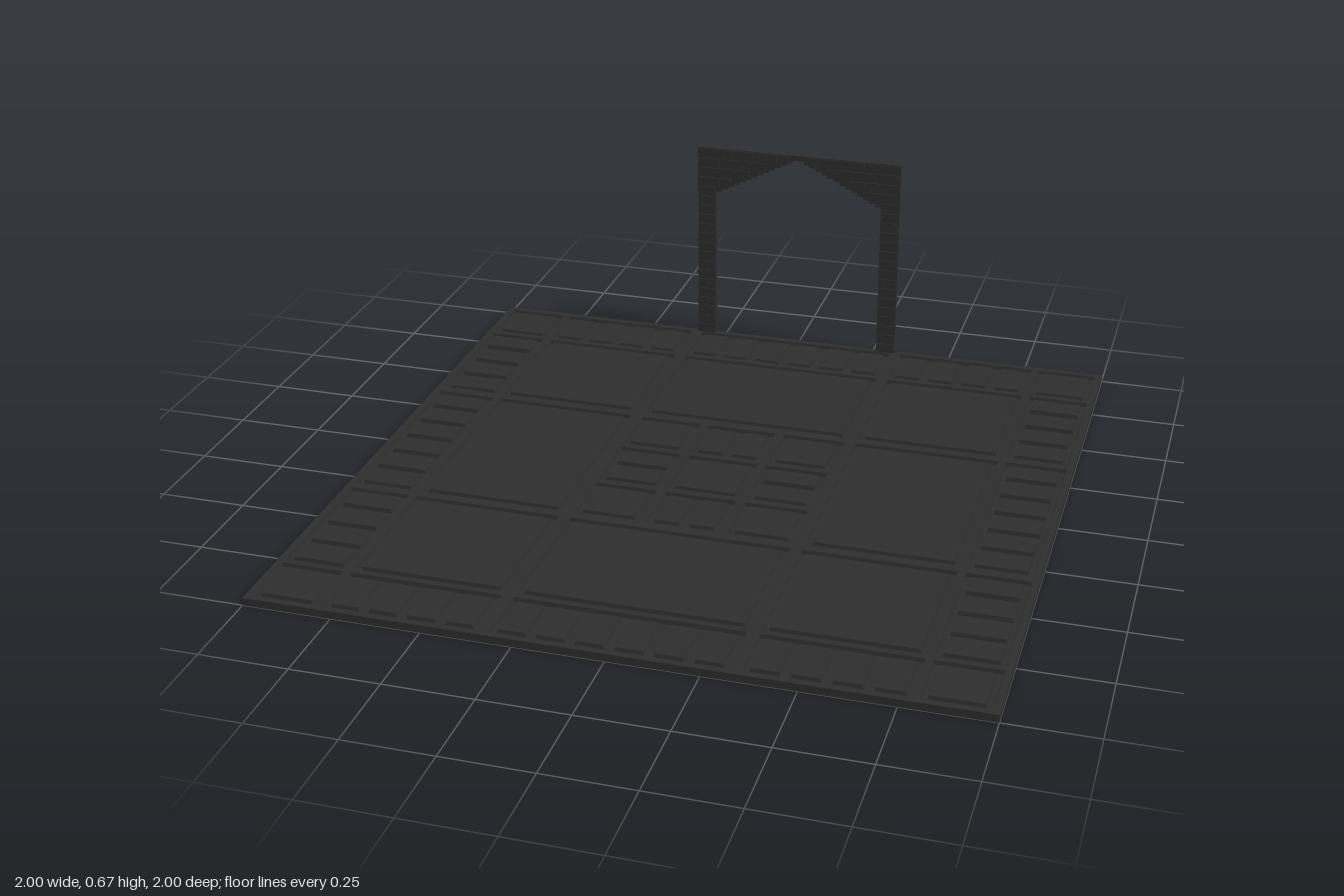
import * as THREE from 'three';
import { mergeGeometries } from 'three/addons/utils/BufferGeometryUtils.js';

const TOP = 0.022, LOW = 0.01, SLOPE = 0.003;

// Rectangle loop at height y, shrunk by inset
const loop = ([x0, x1, z0, z1], y, inset = 0) => [
  [x0 + inset, y, z1 - inset], [x1 - inset, y, z1 - inset],
  [x1 - inset, y, z0 + inset], [x0 + inset, y, z0 + inset],
];

function quad(out, a, b, c, d) {
  out.push(...a, ...b, ...c, ...a, ...c, ...d);
}

// Four walls joining two loops
function walls(out, a, b) {
  for (let i = 0; i < 4; i++) {
    const j = (i + 1) % 4;
    quad(out, a[i], a[j], b[j], b[i]);
  }
}

function toGeometry(points) {
  const g = new THREE.BufferGeometry();
  g.setAttribute('position', new THREE.Float32BufferAttribute(points, 3));
  g.computeVertexNormals();
  return g;
}

// Panel list: recess rectangle plus how many tiles it holds along x and z
function panelLayout() {
  const panels = [];
  const outer = [[-0.98, -0.8], [-0.78, -0.35], [-0.318, 0.318], [0.35, 0.78], [0.8, 0.98]];
  const inner = [[-0.315, -0.13], [-0.106, 0.106], [0.13, 0.315]];
  const splits = [1, 4, 6, 4, 1];
  outer.forEach((bx, i) => outer.forEach((bz, j) => {
    if (i === 2 && j === 2) return;
    const nx = j === 0 || j === 4 ? splits[i] : 1;
    const nz = i === 0 || i === 4 ? splits[j] : 1;
    panels.push({ rect: [...bx, ...bz], nx, nz });
  }));
  // Small pattern in the middle
  inner.forEach((bx, i) => inner.forEach((bz, j) => {
    const nx = i === 1 && j !== 1 ? 2 : 1;
    const nz = j === 1 && i !== 1 ? 2 : 1;
    panels.push({ rect: [...bx, ...bz], nx, nz });
  }));
  return panels;
}

function createFloor(material) {
  const floor = new THREE.Group();
  floor.name = 'floor';
  const add = (name, geometry) => {
    const mesh = new THREE.Mesh(geometry, material);
    mesh.name = name;
    floor.add(mesh);
    return mesh;
  };

  add('floorSlab', new THREE.BoxGeometry(2, LOW, 2)).position.y = LOW / 2;

  // Upper paving surface, pierced by the recesses
  const shape = new THREE.Shape([[-1, -1], [1, -1], [1, 1], [-1, 1]].map(p => new THREE.Vector2(...p)));
  const sides = [], tiles = [];
  const edge = [-1, 1, -1, 1];
  walls(sides, loop(edge, LOW), loop(edge, TOP));

  for (const { rect, nx, nz } of panelLayout()) {
    const [x0, x1, z0, z1] = rect;
    shape.holes.push(new THREE.Path([[x0, -z0], [x1, -z0], [x1, -z1], [x0, -z1]].map(p => new THREE.Vector2(...p))));
    walls(sides, loop(rect, TOP), loop(rect, LOW, SLOPE));

    // Raised tiles inside the recess
    const margin = 0.016, gap = 0.026;
    const w = (x1 - x0 - 2 * margin - (nx - 1) * gap) / nx;
    const d = (z1 - z0 - 2 * margin - (nz - 1) * gap) / nz;
    for (let i = 0; i < nx; i++) for (let j = 0; j < nz; j++) {
      const tx = x0 + margin + i * (w + gap), tz = z0 + margin + j * (d + gap);
      const tile = [tx, tx + w, tz, tz + d];
      const cap = loop(tile, TOP, SLOPE);
      walls(tiles, loop(tile, LOW), cap);
      quad(tiles, ...cap);
    }
  }
  const surface = new THREE.ShapeGeometry(shape);
  surface.rotateX(-Math.PI / 2);
  add('pavingSurface', surface).position.y = TOP;
  add('grooveWalls', toGeometry(sides));
  add('floorTiles', toGeometry(tiles));
  return floor;
}

function createGateway(material) {
  const gateway = new THREE.Group();
  gateway.name = 'gateway';
  const halfW = 0.33, height = 0.665, halfOpen = 0.27, spring = 0.51, peak = 0.648;
  const backZ = -1, faceZ = -0.984, brickZ = -0.98;

  // Wall outline with a stepped pointed opening
  const pts = [[-halfW, 0], [-halfOpen, 0], [-halfOpen, spring]];
  const steps = 14, run = halfOpen / steps, rise = (peak - spring) / steps;
  for (let i = 1; i <= steps; i++) {
    const y = spring + i * rise, x = -halfOpen + i * run;
    pts.push([x - run, y]);
    if (i < steps) pts.push([x, y]);
  }
  const right = pts.map(([x, y]) => [-x, y]).reverse();
  const outline = [...pts, ...right, [halfW, height], [-halfW, height]];
  const wallGeo = new THREE.ExtrudeGeometry(
    new THREE.Shape(outline.map(p => new THREE.Vector2(...p))),
    { depth: faceZ - backZ, bevelEnabled: false });
  const wall = new THREE.Mesh(wallGeo, material);
  wall.name = 'archWall';
  wall.position.z = backZ;
  gateway.add(wall);

  // Brick courses in running bond on the front face
  const bricks = [], rows = 20, h = (height - TOP) / rows, len = 0.075, joint = 0.005;
  for (let r = 0; r < rows; r++) {
    const y = TOP + r * h;
    const t = Math.max(0, (y - spring) / (peak - spring));
    const inner = Math.max(0, halfOpen * (1 - t));
    for (const side of [-1, 1]) {
      let end = halfW;
      let size = r % 2 ? len / 2 : len;
      while (end - inner > 0.008) {
        const start = Math.max(inner, end - size);
        const w = end - start - joint;
        if (w > 0.004) {
          const b = new THREE.BoxGeometry(w, h - joint, brickZ - faceZ);
          b.translate(side * (start + end) / 2, y + h / 2, (brickZ + faceZ) / 2);
          bricks.push(b);
        }
        end = start;
        size = len;
      }
    }
  }
  const brickMesh = new THREE.Mesh(mergeGeometries(bricks), material);
  brickMesh.name = 'archBricks';
  gateway.add(brickMesh);
  return gateway;
}

export function createModel() {
  const stone = new THREE.MeshStandardMaterial({ color: 0x2d2d2d });
  stone.name = 'dark stone';
  const model = new THREE.Group();
  model.name = 'courtyardWithGateway';
  model.add(createFloor(stone), createGateway(stone));
  return model;
}
